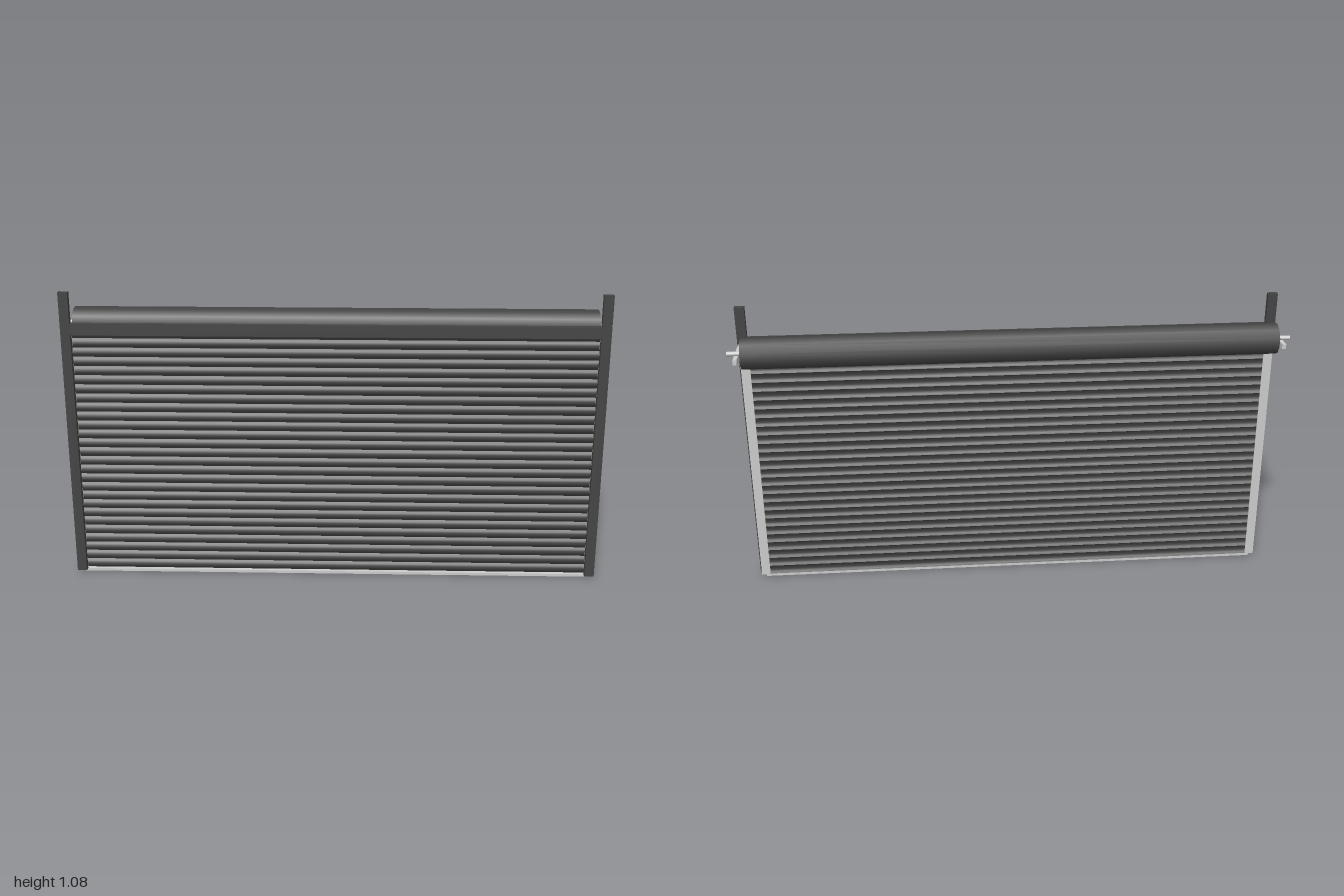
import * as THREE from 'three';
import { toCreasedNormals } from 'three/addons/utils/BufferGeometryUtils.js';

const dark = new THREE.MeshStandardMaterial({ color: 0x444444 });
const grey = new THREE.MeshStandardMaterial({ color: 0xcccccc });

// Box given by its minimum and maximum corners
function box(name, material, [x0, y0, z0], [x1, y1, z1]) {
  const mesh = new THREE.Mesh(new THREE.BoxGeometry(x1 - x0, y1 - y0, z1 - z0), material);
  mesh.name = name;
  mesh.position.set((x0 + x1) / 2, (y0 + y1) / 2, (z0 + z1) / 2);
  return mesh;
}

// Extrude a (z, y) outline along x, centred on x = 0
function extrudeAlongX(shape, width) {
  const g = new THREE.ExtrudeGeometry(shape, { depth: width, bevelEnabled: false, curveSegments: 5 });
  return g.rotateY(-Math.PI / 2).translate(width / 2, 0, 0);
}

// Cylinder lying along x, centred on x = 0
function rod(name, material, radius, length, sides) {
  const mesh = new THREE.Mesh(new THREE.CylinderGeometry(radius, radius, length, sides), material);
  mesh.name = name;
  mesh.rotation.z = Math.PI / 2;
  return mesh;
}

// Post, guide channel and roll bracket for the side at sign s
function sideFrame(s) {
  const side = new THREE.Group();
  side.name = s > 0 ? 'leftFrame' : 'rightFrame';
  const add = (name, mat, a, b) => {
    const x = [s * a[0], s * b[0]].sort((p, q) => p - q);
    side.add(box(name, mat, [x[0], a[1], a[2]], [x[1], b[1], b[2]]));
  };
  add('post', dark, [0.94, 0.01, 0.07], [0.975, 1.08, 0.09]);

  // C-shaped guide, open towards the curtain
  add('guideWeb', grey, [0.964, 0.01, 0.046], [0.968, 0.95, 0.07]);
  add('guideBackFlange', grey, [0.935, 0.01, 0.046], [0.964, 0.95, 0.049]);
  add('guideFrontFlange', grey, [0.94, 0.01, 0.067], [0.964, 0.95, 0.07]);

  // Tapered bracket carrying the axle
  const outline = new THREE.Shape([
    new THREE.Vector2(0.07, 0.89), new THREE.Vector2(0.07, 0.94),
    new THREE.Vector2(-0.082, 0.94), new THREE.Vector2(-0.082, 0.923),
  ]);
  const bracket = new THREE.Mesh(extrudeAlongX(outline, 0.014), grey);
  bracket.name = 'bracket';
  bracket.position.x = s * 0.967;
  side.add(bracket);
  return side;
}

export function createModel() {
  const model = new THREE.Group();
  model.name = 'rollerShutter';

  // Frame
  model.add(sideFrame(1), sideFrame(-1));
  model.add(box('headerBeam', dark, [-0.94, 0.925, 0.07], [0.94, 0.967, 0.09]));

  // Curtain of curved slats
  const count = 27, bottom = 0.01, pitch = 0.0345;
  const slat = new THREE.Shape();
  slat.moveTo(0.05, 0);
  slat.lineTo(0.054, 0);
  slat.quadraticCurveTo(0.072, pitch / 2, 0.054, pitch);
  slat.lineTo(0.05, pitch);
  slat.quadraticCurveTo(0.066, pitch / 2, 0.05, 0);
  const slatGeometry = toCreasedNormals(extrudeAlongX(slat, 1.9), 0.6);
  const curtain = new THREE.Group();
  curtain.name = 'curtain';
  for (let i = 0; i < count; i++) {
    const mesh = new THREE.Mesh(slatGeometry, dark);
    mesh.name = 'slat';
    mesh.position.y = bottom + i * pitch;
    curtain.add(mesh);
  }
  model.add(curtain);
  model.add(box('bottomBar', grey, [-0.95, 0, 0.05], [0.95, 0.01, 0.07]));

  // Roll with pale end discs, turning on an axle
  const roll = new THREE.Group();
  roll.name = 'roll';
  roll.position.set(0, 0.947, -0.033);
  const drum = rod('drum', [dark, grey, grey], 0.057, 1.896, 11);
  roll.add(drum, rod('axle', grey, 0.008, 2, 10));
  model.add(roll);

  return model;
}
